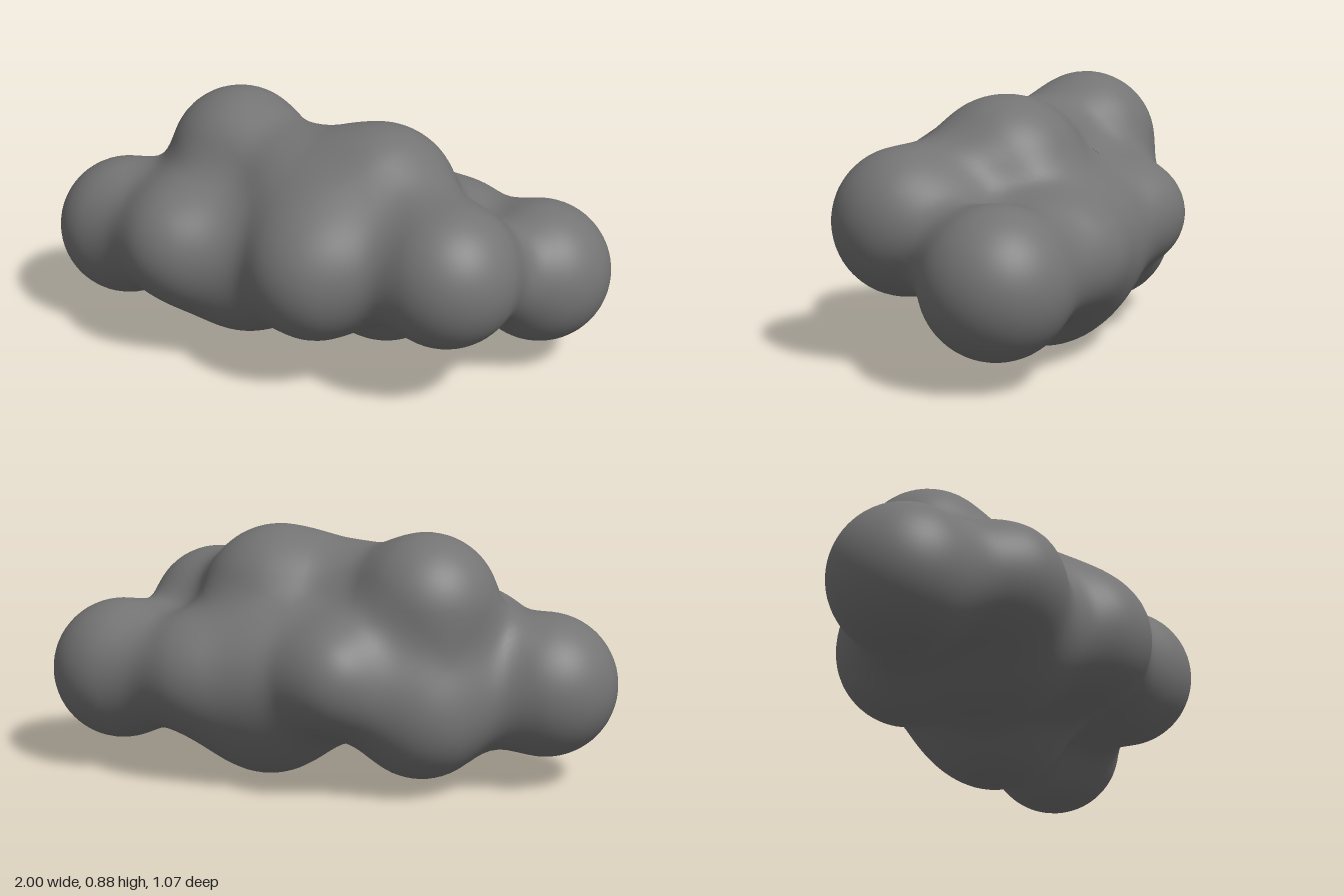
import * as THREE from 'three';

// Puffs of the cloud: x, y, z, radius
const PUFFS = [
  [-0.75, 0.35, -0.02, 0.25], // left and right ends
  [0.75, 0.34, -0.09, 0.25],
  [-0.35, 0.63, -0.125, 0.25], // top
  [0.2, 0.58, 0.03, 0.28],
  [-0.08, 0.55, 0.04, 0.235],
  [0.5, 0.47, 0.285, 0.25], // front
  [0.05, 0.43, 0.28, 0.25],
  [-0.47, 0.42, 0.2, 0.21],
  [-0.08, 0.42, -0.35, 0.19], // back
  [0.42, 0.37, -0.24, 0.2],
  [0.17, 0.37, -0.23, 0.2],
  [-0.35, 0.29, -0.19, 0.245], // underside
  [-0.25, 0.32, 0.1, 0.24],
  [0.2, 0.25, -0.1, 0.25],
];
const BLEND = 0.17;

// Distance to the puffs melted into one another
function distance(x, y, z) {
  let d = 10;
  for (const [px, py, pz, r] of PUFFS) {
    const e = Math.hypot(x - px, y - py, z - pz) - r;
    const h = Math.max(BLEND - Math.abs(d - e), 0) / BLEND;
    d = Math.min(d, e) - h * h * BLEND * 0.25;
  }
  return d;
}

function gradient(x, y, z, out) {
  const e = 0.002;
  return out.set(
    distance(x + e, y, z) - distance(x - e, y, z),
    distance(x, y + e, z) - distance(x, y - e, z),
    distance(x, y, z + e) - distance(x, y, z - e),
  ).normalize();
}

// Skin over the melted puffs: one point per grid cell on the surface, joined by quads
function cloudGeometry(step) {
  const min = [-1.1, -0.1, -0.65];
  const size = [2.2, 1.1, 1.3].map((s) => Math.ceil(s / step) + 1);
  const stride = [1, size[0], size[0] * size[1]];
  const field = new Float32Array(size[0] * size[1] * size[2]);
  const at = (i, a) => min[a] + i * step;
  const eachCell = (start, fn) => {
    for (let k = start; k < size[2] - 1; k++)
      for (let j = start; j < size[1] - 1; j++)
        for (let i = start; i < size[0] - 1; i++)
          fn(i, j, k, i + j * stride[1] + k * stride[2]);
  };
  for (let k = 0, n = 0; k < size[2]; k++)
    for (let j = 0; j < size[1]; j++)
      for (let i = 0; i < size[0]; i++, n++) field[n] = distance(at(i, 0), at(j, 1), at(k, 2));

  const positions = [], normals = [], index = [];
  const vertexOf = new Map();
  const p = new THREE.Vector3(), g = new THREE.Vector3();

  eachCell(0, (i, j, k, n) => {
    let inside = 0;
    for (let c = 0; c < 8; c++) {
      const corner = n + (c & 1) + ((c >> 1) & 1) * stride[1] + (c >> 2) * stride[2];
      if (field[corner] < 0) inside++;
    }
    if (inside === 0 || inside === 8) return;
    // Slide the cell centre onto the surface
    p.set(at(i + 0.5, 0), at(j + 0.5, 1), at(k + 0.5, 2));
    for (let s = 0; s < 4; s++) {
      gradient(p.x, p.y, p.z, g);
      p.addScaledVector(g, -distance(p.x, p.y, p.z));
    }
    gradient(p.x, p.y, p.z, g);
    vertexOf.set(n, positions.length / 3);
    positions.push(p.x, p.y, p.z);
    normals.push(g.x, g.y, g.z);
  });

  eachCell(1, (i, j, k, n) => {
    for (let a = 0; a < 3; a++) {
      const here = field[n] < 0;
      if (here === field[n + stride[a]] < 0) continue;
      const b = stride[(a + 1) % 3], c = stride[(a + 2) % 3];
      const q = [n - b - c, n - c, n, n - b].map((v) => vertexOf.get(v));
      if (!here) q.reverse();
      index.push(q[0], q[1], q[2], q[0], q[2], q[3]);
    }
  });

  const geometry = new THREE.BufferGeometry();
  geometry.setAttribute('position', new THREE.Float32BufferAttribute(positions, 3));
  geometry.setAttribute('normal', new THREE.Float32BufferAttribute(normals, 3));
  geometry.setIndex(index);
  return geometry;
}

export function createModel() {
  const group = new THREE.Group();
  group.name = 'cloud';
  const body = new THREE.Mesh(
    cloudGeometry(0.025),
    new THREE.MeshStandardMaterial({ color: 0x747474 }),
  );
  body.name = 'cloudBody';
  group.add(body);
  return group;
}
